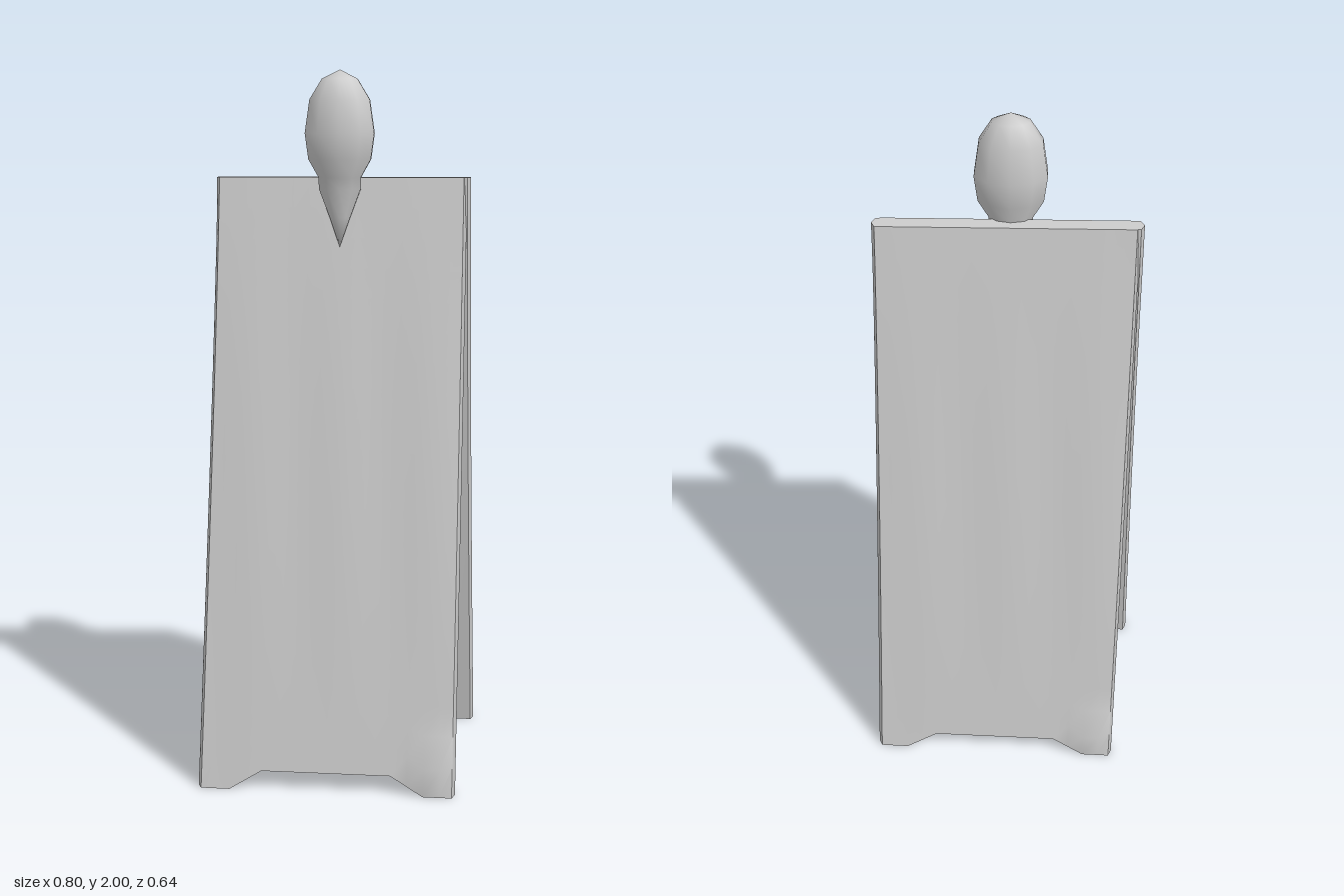
import * as THREE from 'three';
import { mergeVertices, toCreasedNormals } from 'three/addons/utils/BufferGeometryUtils.js';

const { lerp, clamp } = THREE.MathUtils;
const TOP = 1.71;

// One leaning board: a subdivided box reshaped by a rule.
// u runs across, v runs upwards, t runs from the inner to the outer face.
function boardGeometry() {
  const geo = new THREE.BoxGeometry(2, 1, 2, 16, 20, 2);
  const pos = geo.attributes.position;
  for (let i = 0; i < pos.count; i++) {
    const u = pos.getX(i), v = pos.getY(i) + 0.5, t = pos.getZ(i);
    const side = (u + 1) / 2;

    // bottom edge is cut away between two corner feet
    const foot = clamp((Math.abs(u) - 0.5) / 0.25, 0, 1);
    const y = lerp(lerp(0.055, 0.0, foot), TOP, v);

    // the outline flares at one lower corner; long edges are rounded
    const flare = Math.pow(1 - v, 1.2);
    const left = -0.355 - 0.045 * flare;
    const right = 0.345 - 0.012 * flare;
    let x = lerp(left, right, side);
    if (Math.abs(u) > 0.99 && Math.abs(t) > 0.5) x -= Math.sign(u) * 0.01;

    // slightly twisted lean with a soft ripple on the faces
    const k = y / TOP;
    const outer = lerp(lerp(0.287, 0.312, side), 0.024, k);
    const inner = Math.max(lerp(lerp(0.245, 0.265, side), -0.045, k), -0.022);
    let z = lerp(inner, outer, (t + 1) / 2);
    z += 0.0025 * Math.sin(u * 9 + v * 2) * Math.sin(v * Math.PI) * t;

    // small bulge above one foot
    if (t > 0.5 && u > 0.7 && u < 0.95 && v > 0.01 && v < 0.07) z += 0.022;
    pos.setXYZ(i, x, y, z);
  }
  geo.deleteAttribute('normal');
  geo.deleteAttribute('uv');
  return toCreasedNormals(mergeVertices(geo, 1e-5), 0.9);
}

// Coarse rounded knob whose neck tapers to a point on the front board.
function knobGeometry() {
  const profile = [
    [0, 1.52], [0.03, 1.6], [0.062, 1.68], [0.062, 1.71], [0.092, 1.76],
    [0.102, 1.83], [0.088, 1.92], [0.052, 1.975], [0, 2.0],
  ].map(([r, y]) => new THREE.Vector2(r, y));
  const geo = new THREE.LatheGeometry(profile, 10);
  const pos = geo.attributes.position;
  for (let i = 0; i < pos.count; i++) {
    const y = pos.getY(i);
    const centre = y < 1.55 ? 0.058 : y < 1.7 ? 0.044 : y > 1.98 ? 0.04 : 0.048;
    pos.setX(i, pos.getX(i) * 0.98 - 0.007);
    pos.setZ(i, pos.getZ(i) * 0.7 + centre);
  }
  geo.deleteAttribute('normal');
  geo.deleteAttribute('uv');
  const smooth = mergeVertices(geo, 1e-5);
  smooth.computeVertexNormals();
  return smooth;
}

export function createModel() {
  const model = new THREE.Group();
  model.name = 'foldingSignBoard';
  const paleGrey = new THREE.MeshStandardMaterial({ color: 0xcccccc });
  paleGrey.name = 'paleGrey';

  // front and back boards are the same part turned half around
  const board = boardGeometry();
  ['frontBoard', 'backBoard'].forEach((name, i) => {
    const mesh = new THREE.Mesh(board, paleGrey);
    mesh.name = name;
    mesh.rotation.y = i * Math.PI;
    model.add(mesh);
  });

  const knob = new THREE.Mesh(knobGeometry(), paleGrey);
  knob.name = 'topKnob';
  model.add(knob);
  return model;
}
